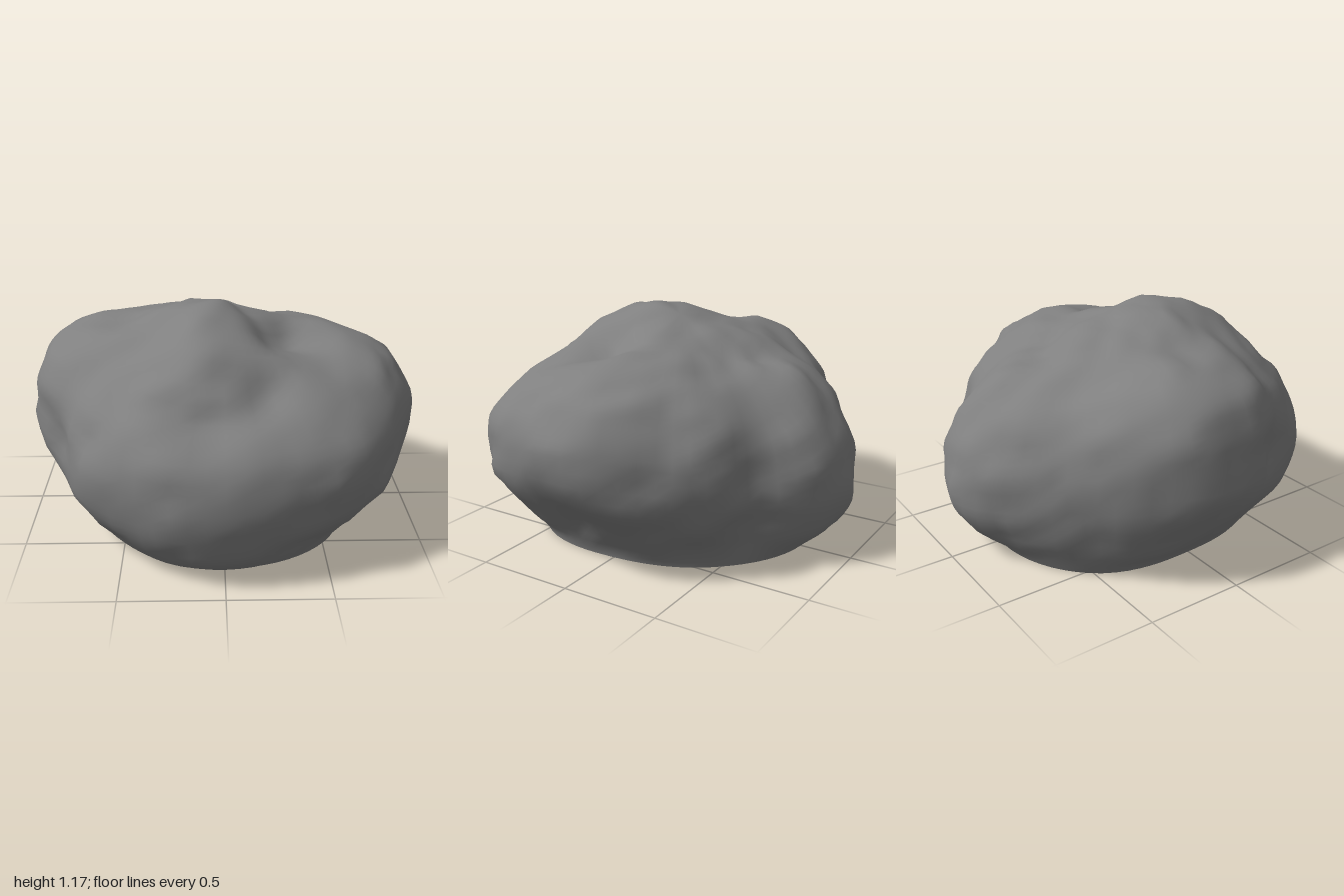
import * as THREE from 'three';

const SEG = 72, LOW = 10, HIGH = 24;
const CORE = new THREE.Vector3(0, 0.4, 0);

// Plan outline radius every 15 degrees, from +x towards +z
const OUTLINE = [0.99, 0.985, 1.0, 1.01, 1.0, 0.985, 0.975, 0.99, 0.96, 0.93, 0.91, 0.955,
  0.985, 0.98, 0.92, 0.865, 0.88, 0.935, 0.975, 0.93, 0.81, 0.85, 0.89, 0.955];
// Every 45 degrees: foot radius, undercut below the widest point, height of
// the widest point, and fullness of the shoulder
const FOOT = [0.62, 0.72, 0.74, 0.7, 0.64, 0.73, 0.73, 0.65];
const UNDERCUT = [1.95, 1.8, 0.85, 1.25, 1.55, 1.3, 1.4, 1.8];
const RIM = [0.57, 0.46, 0.42, 0.42, 0.52, 0.45, 0.36, 0.48];
const FULL = [2.9, 2.3, 2.2, 2.3, 3.0, 2.4, 2.1, 2.3];

// Lumps (+) and hollows (-): x, y, z, amount, width
const LUMPS = [
  [0.2, 0.85, 0.68, -0.07, 0.13], [0.38, 1.0, 0.22, -0.07, 0.17], [0.22, 1.03, 0.3, -0.03, 0.13],
  [-0.1, 0.98, 0.52, 0.05, 0.17], [0.65, 0.95, 0.25, 0.02, 0.18], [-0.88, 0.55, 0.4, -0.05, 0.16],
  [-0.65, 0.45, 0.65, 0.03, 0.2], [0, 0.9, -0.65, 0.03, 0.15], [-0.1, 0.78, 0.82, -0.07, 0.16],
  [0.05, 1.02, -0.45, -0.05, 0.18], [0.8, 0.24, 0.1, -0.045, 0.18], [-0.4, 1.0, -0.5, -0.03, 0.18],
  [0.3, 0.2, 0.8, -0.03, 0.18], [0.85, 0.65, -0.38, -0.03, 0.2], [-0.48, 1.05, 0.05, -0.04, 0.2],
  [-0.1, 1.15, 0.2, 0.02, 0.12], [0.02, 1.1, -0.22, 0.02, 0.15],
];

// Smooth periodic lookup round the rock
function around(table, angle) {
  const n = table.length, f = (angle / (Math.PI * 2)) * n, i = Math.floor(f), t = f - i;
  const at = (k) => table[(((i + k) % n) + n) % n];
  const a = at(-1), b = at(0), c = at(1), d = at(2);
  return b + 0.5 * t * (c - a + t * (2 * a - 5 * b + 4 * c - d + t * (3 * (b - c) + d - a)));
}

// Seeded value noise, -1 to 1
function hash(x, y, z) {
  let h = Math.imul(x, 374761393) ^ Math.imul(y, 668265263) ^ Math.imul(z, 1274126177) ^ 7919;
  h = Math.imul(h ^ (h >>> 13), 1103515245);
  return ((h ^ (h >>> 16)) >>> 0) / 2147483648 - 1;
}
function noise(x, y, z) {
  const c = [x, y, z].map(Math.floor);
  const f = [x - c[0], y - c[1], z - c[2]].map((t) => t * t * (3 - 2 * t));
  let sum = 0;
  for (let k = 0; k < 8; k++) {
    const b = [k & 1, (k >> 1) & 1, k >> 2];
    const w = b.reduce((p, v, j) => p * (v ? f[j] : 1 - f[j]), 1);
    sum += w * hash(c[0] + b[0], c[1] + b[1], c[2] + b[2]);
  }
  return sum;
}

// Height of the crown over a plan position
function crown(x, z) {
  const peak = Math.exp(-((x + 0.1) ** 2 + (z - 0.22) ** 2) / 0.1);
  return 1.05 + 0.11 * peak - 0.06 * x;
}

// Push a point in or out with the lumps and the noise
function weather(p) {
  let d = 0.012 * noise(p.x * 3.6 + 5, p.y * 3.6, p.z * 3.6) + 0.02 * noise(p.x * 8, p.y * 8 + 3, p.z * 8);
  for (const [x, y, z, amount, width] of LUMPS) {
    const q = (p.x - x) ** 2 + (p.y - y) ** 2 + (p.z - z) ** 2;
    d += amount * Math.exp(-q / (width * width));
  }
  const fade = Math.min(1, p.y / 0.15);
  const out = p.clone().sub(CORE).normalize();
  p.addScaledVector(out, d * fade);
  p.y = Math.max(p.y, 0);
  return p;
}

// One point of the skin: row 0 is the foot, the last row is the crown
function skinPoint(row, angle) {
  const c = Math.cos(angle), s = Math.sin(angle);
  const R = around(OUTLINE, angle), rim = around(RIM, angle), foot = around(FOOT, angle);
  if (row <= LOW) {
    const t = row / LOW;
    const rho = foot + (R - foot) * Math.sin(t * Math.PI / 2) ** around(UNDERCUT, angle);
    return weather(new THREE.Vector3(rho * c, rim * t ** 1.25, rho * s));
  }
  const e = 2 / around(FULL, angle), a = ((row - LOW) / HIGH) * Math.PI / 2;
  const rho = R * Math.max(0, Math.cos(a)) ** e;
  const y = rim + (crown(rho * c, rho * s) - rim) * Math.sin(a) ** e;
  return weather(new THREE.Vector3(rho * c, y, rho * s));
}

function skinGeometry() {
  const pos = [], index = [], rows = LOW + HIGH;
  for (let r = 0; r < rows; r++) {
    for (let i = 0; i < SEG; i++) pos.push(...skinPoint(r, (i / SEG) * Math.PI * 2).toArray());
  }
  const top = rows * SEG;
  pos.push(...skinPoint(rows, 0).toArray());
  for (let i = 0; i < SEG; i++) {
    const j = (i + 1) % SEG;
    for (let r = 0; r < rows - 1; r++) {
      const a = r * SEG + i, b = r * SEG + j;
      index.push(a, a + SEG, b, b, a + SEG, b + SEG);
    }
    index.push((rows - 1) * SEG + i, top, (rows - 1) * SEG + j);
  }
  return build(pos, index);
}

// Flat underside
function baseGeometry() {
  const pos = [0, 0, 0], index = [];
  for (let i = 0; i < SEG; i++) {
    pos.push(...skinPoint(0, (i / SEG) * Math.PI * 2).toArray());
    index.push(0, i + 1, ((i + 1) % SEG) + 1);
  }
  return build(pos, index);
}

function build(pos, index) {
  const g = new THREE.BufferGeometry();
  g.setAttribute('position', new THREE.Float32BufferAttribute(pos, 3));
  g.setIndex(index);
  g.computeVertexNormals();
  return g;
}

export function createModel() {
  const group = new THREE.Group();
  group.name = 'boulder';
  const stone = new THREE.MeshStandardMaterial({ color: 0x808080 });
  stone.name = 'grey stone';
  const parts = { rockBody: skinGeometry(), rockBase: baseGeometry() };

  for (const [name, geometry] of Object.entries(parts)) {
    const mesh = new THREE.Mesh(geometry, stone);
    mesh.name = name;
    group.add(mesh);
  }
  return group;
}
